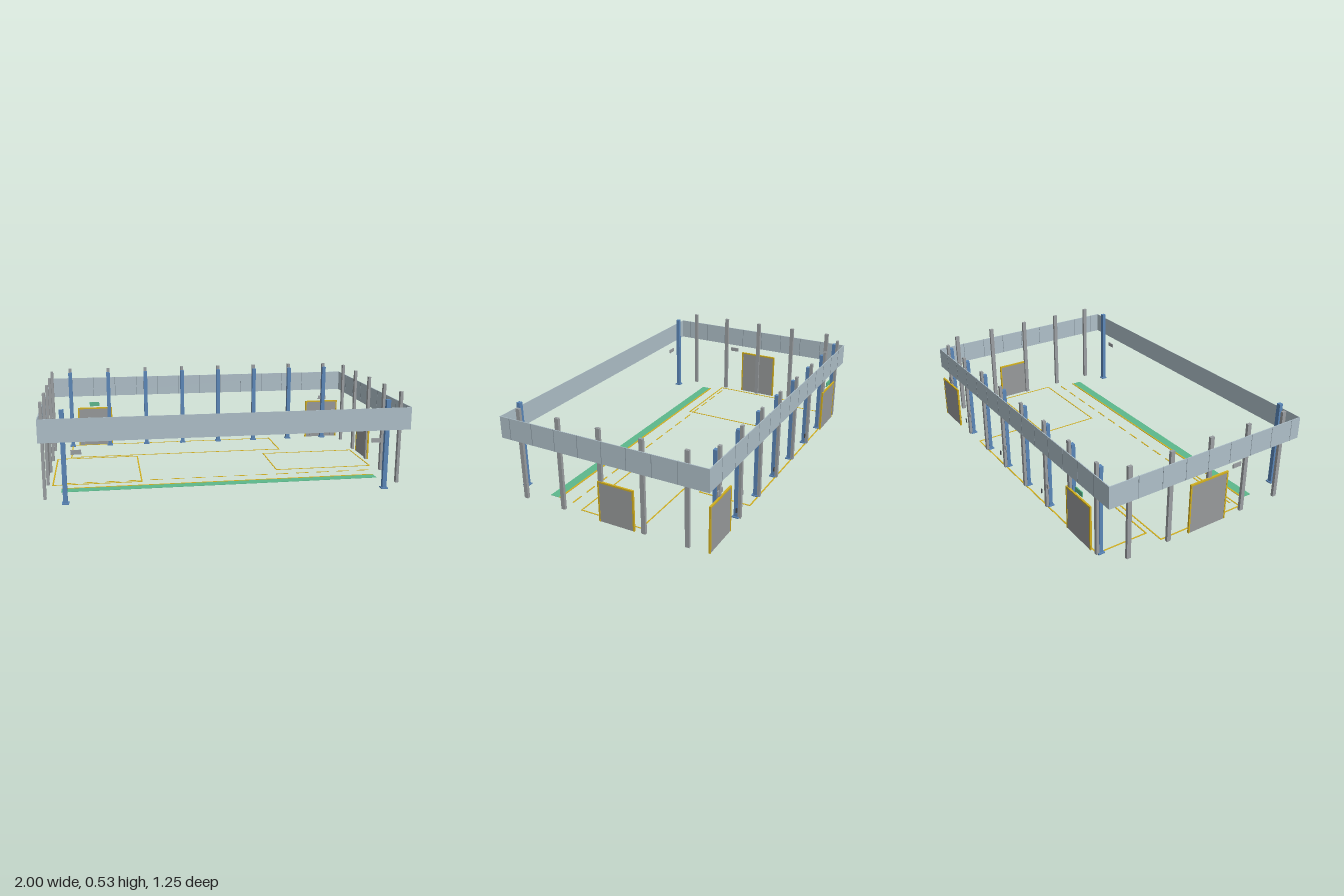
import * as THREE from 'three';

const mat = (name, color) => {
  const m = new THREE.MeshStandardMaterial({ color });
  m.name = name;
  return m;
};

export function createModel() {
  const root = new THREE.Group();
  root.name = 'openHall';
  const cladding = mat('pale blue cladding', 0xaebfc8);
  const seamGrey = mat('seam grey', 0x84929b);
  const steel = mat('grey steel', 0x9a9ea1);
  const doorGrey = mat('door grey', 0x97999a);
  const blue = mat('column blue', 0x5a86b8);
  const yellow = mat('safety yellow', 0xd2b020);
  const green = mat('walkway green', 0x5cb88c);
  const dark = mat('dark grey', 0x45494d);

  // Box given by its centre in x and z, and by its bottom and top
  const box = (name, m, x, z, y0, y1, w, d, parent = root) => {
    const mesh = new THREE.Mesh(new THREE.BoxGeometry(w, y1 - y0, d), m);
    mesh.position.set(x, (y0 + y1) / 2, z);
    mesh.name = name;
    parent.add(mesh);
    return mesh;
  };
  const group = (name) => {
    const g = new THREE.Group();
    g.name = name;
    root.add(g);
    return g;
  };

  // Cladding band around all four sides
  const Y0 = 0.34, Y1 = 0.465;
  const band = group('claddingBand');
  box('frontBand', cladding, 0, 0.622, Y0, Y1, 2, 0.002, band);
  box('backBand', cladding, 0, -0.621, Y0, Y1, 2, 0.005, band);
  for (const s of [-1, 1]) {
    box('sideBand', cladding, s * 0.9975, 0, Y0, Y1, 0.005, 1.246, band);
    for (let z = 0.56; z > -0.6; z -= 0.145)
      box('sideSeam', seamGrey, s * 0.9975, z, Y0, Y1, 0.0064, 0.003, band);
  }
  for (let i = -6; i <= 6; i++)
    box('backSeam', seamGrey, i * 0.145, -0.621, Y0, Y1, 0.003, 0.0064, band);

  // Grey side columns
  for (const s of [-1, 1])
    for (let z = -0.5; z <= 0.5; z += 0.25)
      box('sideColumn', steel, s * 0.987, z, 0, 0.53, 0.016, 0.024);

  // Blue columns on base plates, with grey wall columns behind the rear row
  const blueColumn = (x, z) => {
    const g = group('blueColumn');
    box('basePlate', blue, x, z, 0, 0.007, 0.037, 0.037, g);
    box('shaft', blue, x, z, 0.007, 0.505, 0.024, 0.022, g);
  };
  for (let x = -0.875; x <= 0.875; x += 0.25) {
    blueColumn(x, -0.592);
    box('wallColumn', steel, x, -0.611, 0, 0.53, 0.02, 0.016);
  }
  for (const s of [-1, 1]) blueColumn(s * 0.875, 0.592);

  // Doors: grey leaf with a yellow frame, built facing z
  const door = (w, h, x, z, turned) => {
    const g = group('door');
    const t = 0.009;
    box('leaf', doorGrey, 0, 0, 0, h - t, w - 2 * t, 0.007, g);
    box('lintel', yellow, 0, 0, h - t, h, w, 0.01, g);
    for (const s of [-1, 1])
      box('jamb', yellow, s * (w - t) / 2, 0, 0, h - t, t, 0.01, g);
    g.position.set(x, 0, z);
    if (turned) g.rotation.y = Math.PI / 2;
  };
  door(0.23, 0.26, -0.72, -0.619, false);
  door(0.23, 0.26, 0.873, -0.619, false);
  door(0.25, 0.295, -0.994, 0, true);
  door(0.215, 0.235, 0.994, -0.0925, true);

  // Bumpers at the foot of the rear doors
  for (const x of [-0.795, -0.64, 0.8, 0.95])
    box('doorBumper', steel, x, -0.609, 0.01, 0.04, 0.016, 0.012);

  // Hanging signs
  for (const s of [-1, 1])
    box('frontSign', steel, s * 0.81, 0.615, 0.272, 0.296, 0.055, 0.006);
  box('rearSign', steel, 0.875, -0.615, 0.272, 0.296, 0.055, 0.006);
  box('exitSign', green, -0.722, -0.615, 0.27, 0.298, 0.064, 0.006);
  box('sideSign', steel, -0.992, 0.187, 0.295, 0.32, 0.006, 0.055);

  // Switch boxes and handsets along the rear wall
  for (const x of [-0.395, 0.105, 0.605]) {
    box('switchBox', steel, x, -0.612, 0.127, 0.152, 0.016, 0.008);
    box('handset', dark, x + 0.07, -0.614, 0.058, 0.084, 0.007, 0.006);
  }

  // Floor markings: outlined bays, green walkway with border, dashed lane
  const outline = (x0, x1, z0, z1, t) => {
    const g = group('bayOutline');
    const cx = (x0 + x1) / 2, cz = (z0 + z1) / 2;
    for (const z of [z0, z1]) box('line', yellow, cx, z, 0, 0.002, x1 - x0 + t, t, g);
    for (const x of [x0, x1]) box('line', yellow, x, cz, 0, 0.002, t, z1 - z0 - t, g);
  };
  outline(-0.875, 0.492, -0.609, -0.306, 0.008);
  outline(-0.96, -0.457, -0.274, 0.27, 0.008);
  outline(0.364, 0.955, -0.212, 0.158, 0.007);
  box('walkway', green, 0, 0.373, 0, 0.002, 1.815, 0.056);
  box('walkwayBorder', yellow, 0, 0.34, 0, 0.003, 1.815, 0.01);
  for (let i = 0; i < 15; i++)
    box('laneDash', yellow, -0.872 + i * 0.125, 0.245, 0, 0.002, 0.075, 0.008);

  return root;
}
